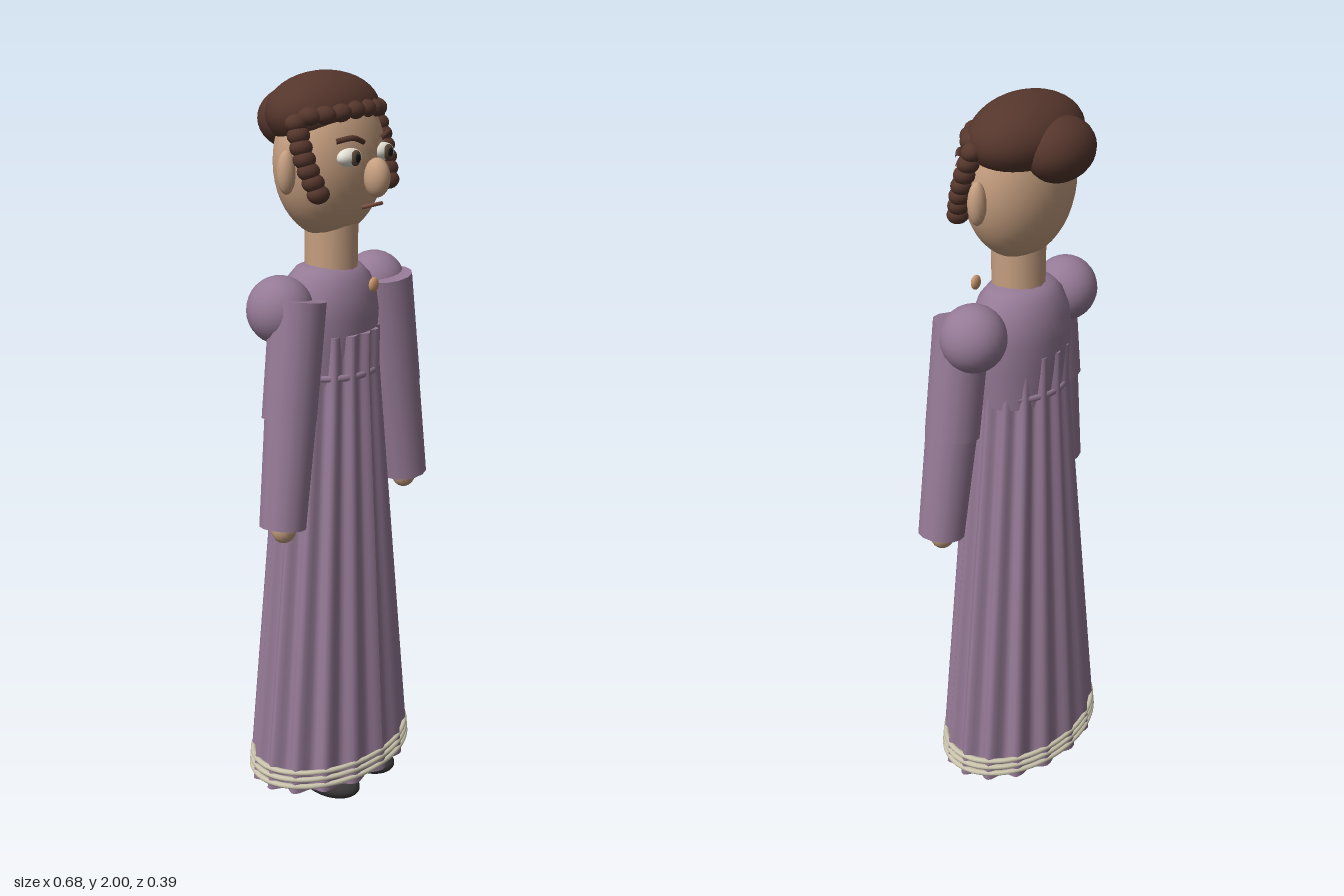
import * as THREE from 'three';

const mat = (name, color) => {
  const m = new THREE.MeshStandardMaterial({ color });
  m.name = name;
  return m;
};

export function createModel() {
  const dress = mat('mauve cloth', 0x957a96);
  const skin = mat('skin', 0xc69f80);
  const hair = mat('brown hair', 0x55362c);
  const trim = mat('cream trim', 0xcbc5ae);
  const shoe = mat('dark shoe', 0x3a3838);
  const white = mat('eye white', 0xe2e0d4);
  const iris = mat('iris', 0x5a4a3a);
  const pupil = mat('pupil', 0x181414);
  const lip = mat('lips', 0x8a5648);
  const gold = mat('pendant', 0xc8966c);

  const model = new THREE.Group();
  model.name = 'lady';
  const add = (name, geo, material, parent = model) => {
    const mesh = new THREE.Mesh(geo, material);
    mesh.name = name;
    parent.add(mesh);
    return mesh;
  };
  const ball = (name, material, [x, y, z], [rx, ry, rz], w = 24, h = 16) => {
    const mesh = add(name, new THREE.SphereGeometry(1, w, h), material);
    mesh.position.set(x, y, z);
    mesh.scale.set(rx, ry, rz);
    return mesh;
  };
  // tapered tube between two points
  const limb = (name, material, a, b, ra, rb) => {
    const p = new THREE.Vector3(...a), q = new THREE.Vector3(...b);
    const d = p.clone().sub(q);
    const mesh = add(name, new THREE.CylinderGeometry(ra, rb, d.length(), 14), material);
    mesh.position.copy(p).add(q).multiplyScalar(0.5);
    mesh.quaternion.setFromUnitVectors(new THREE.Vector3(0, 1, 0), d.normalize());
    return mesh;
  };
  const tube = (name, material, pts, r) => add(name, new THREE.TubeGeometry(
    new THREE.CatmullRomCurve3(pts.map((p) => new THREE.Vector3(...p))), 12, r, 8), material);

  // Pleated skirt: elliptical, flaring from waist to hem
  const WAIST = 1.23, HEM = 0.08, CZ = 0.005;
  const radii = (y) => {
    const t = Math.max(0, (WAIST - y) / (WAIST - HEM));
    return [0.134 + 0.131 * t, 0.121 + 0.058 * t];
  };
  const skirtGeo = new THREE.CylinderGeometry(1, 1, 1, 128, 12);
  const pos = skirtGeo.attributes.position;
  for (let i = 0; i < pos.count; i++) {
    const x = pos.getX(i), z = pos.getZ(i);
    const y = HEM + (pos.getY(i) + 0.5) * (1.34 - HEM);
    const [rx, rz] = radii(y);
    const pleat = 1 + 0.055 * Math.cos(16 * Math.atan2(x, z));
    pos.setXYZ(i, x * rx * pleat, y, z * rz * pleat + CZ);
  }
  skirtGeo.computeVertexNormals();
  add('skirt', skirtGeo, dress);

  // Waistband and hem trim rings
  const ring = (name, material, y, grow, r) => {
    const [rx, rz] = radii(y);
    const geo = new THREE.TorusGeometry(1, r / 0.2, 8, 72);
    geo.rotateX(Math.PI / 2);
    const mesh = add(name, geo, material);
    mesh.scale.set(rx * grow, 0.2, rz * grow);
    mesh.position.set(0, y, CZ);
  };
  ring('waistband', dress, WAIST, 0.99, 0.009);
  for (const y of [0.1, 0.12, 0.14]) ring('hemTrim', trim, y, 1.035, 0.007);

  // Bodice
  const bodice = add('bodice', new THREE.LatheGeometry(
    [[0.14, 1.2], [0.15, 1.3], [0.155, 1.38], [0.147, 1.43], [0.128, 1.475], [0.1, 1.503], [0.06, 1.515], [0, 1.517]]
      .map(([r, y]) => new THREE.Vector2(r, y)), 40), dress);
  bodice.scale.z = 0.77;

  // Neck, head and nose
  limb('neck', skin, [0, 1.65, 0.008], [0, 1.46, 0.008], 0.072, 0.07);
  ball('head', skin, [0, 1.78, 0.003], [0.17, 0.2, 0.128], 36, 24);
  ball('nose', skin, [0, 1.745, 0.152], [0.032, 0.05, 0.035]);
  ball('pendant', gold, [0, 1.47, 0.145], [0.018, 0.02, 0.01], 16, 10);
  tube('mouth', lip, [[-0.045, 1.673, 0.135], [0, 1.676, 0.145], [0.045, 1.673, 0.135]], 0.005);

  // Hair cap and bun
  ball('hairCap', hair, [0, 1.9, -0.017], [0.181, 0.1, 0.123], 36, 20);
  ball('bun', hair, [0, 1.877, -0.115], [0.108, 0.08, 0.081]);

  // Fringe curls across the forehead
  for (let i = 0; i < 8; i++) {
    const a = (i - 3.5) * 0.3;
    const curl = ball('fringeCurl', hair,
      [0.165 * Math.sin(a), 1.912 - 0.012 * Math.abs(Math.sin(a)), 0.105 * Math.cos(a) - 0.005],
      [0.031, 0.023, 0.025], 16, 10);
    curl.rotation.y = a;
  }

  for (const s of [1, -1]) {
    // Side ringlets
    for (let i = 0; i < 7; i++) {
      const t = i / 6;
      ball('ringlet', hair,
        [s * (0.165 + 0.012 * Math.sin(t * Math.PI) - 0.014 * t), 1.885 - 0.17 * t, 0.025 + 0.057 * t],
        [0.032, 0.024, 0.027], 16, 10);
    }
    ball('ear', skin, [s * 0.178, 1.765, 0.003], [0.026, 0.055, 0.023], 16, 12);

    // Eyes and brows
    ball('eyeWhite', white, [s * 0.07, 1.8, 0.117], [0.042, 0.023, 0.024]);
    ball('iris', iris, [s * 0.07, 1.8, 0.137], [0.019, 0.02, 0.008], 16, 12);
    ball('pupil', pupil, [s * 0.07, 1.8, 0.143], [0.01, 0.011, 0.005], 12, 8);
    tube('brow', hair, [[s * 0.036, 1.836, 0.135], [s * 0.075, 1.849, 0.132], [s * 0.115, 1.842, 0.108]], 0.007);

    // Puffed shoulder, two-part sleeve, hand, shoe
    ball('shoulderPuff', dress, [s * 0.205, 1.422, 0], [0.086, 0.088, 0.086]);
    limb('upperSleeve', dress, [s * 0.19, 1.452, 0.047], [s * 0.235, 1.15, 0.051], 0.074, 0.072);
    limb('lowerSleeve', dress, [s * 0.233, 1.16, 0.054], [s * 0.278, 0.87, 0.061], 0.068, 0.062);
    ball('hand', skin, [s * 0.273, 0.867, 0.061], [0.036, 0.042, 0.034], 16, 12);
    ball('shoe', shoe, [s * 0.085, 0.04, 0.07], [0.058, 0.04, 0.095]);
  }
  return model;
}
